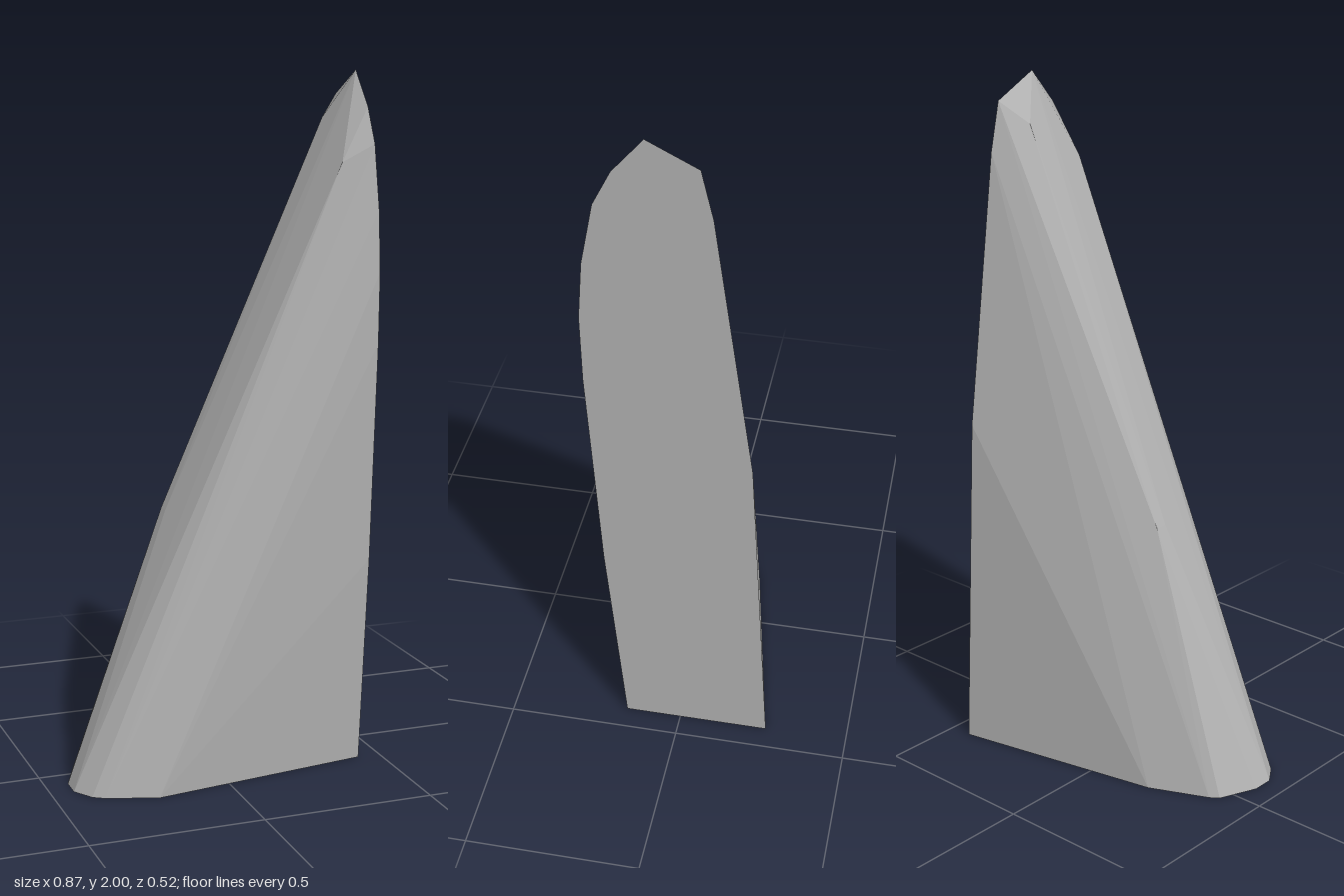
import * as THREE from 'three';
import { ConvexGeometry } from 'three/addons/geometries/ConvexGeometry.js';

export function createModel() {
  const group = new THREE.Group();
  const grey = new THREE.MeshStandardMaterial({ color: 0xb2b2b2 });
  grey.name = 'stone grey';

  const side = 0.432; // plane of the flat upright face

  // Outline of the flat upright face, as [z, y]
  const upright = [
    [0.163, 0], [0.215, 0.62], [0.25, 1.25], [0.253, 1.45], [0.24, 1.62], [0.205, 1.8],
    [0.155, 1.9], [0.07, 2], [-0.068, 1.93], [-0.1, 1.79], [-0.207, 1], [-0.26, 0],
  ].map(([z, y]) => new THREE.Vector3(side, y, z));

  // Outline of the rounded base, as [x, z]
  const base = [
    [-0.22, 0.258], [-0.365, 0.21], [-0.397, 0.19], [-0.434, 0.133],
    [-0.434, 0.07], [-0.387, -0.042], [-0.362, -0.06], [-0.193, -0.135],
  ].map(([x, z]) => new THREE.Vector3(x, 0, z));

  // Corners along the sloping ridge, as [x, y, z]
  const ridge = [
    [-0.12, 0.765, -0.016], [-0.12, 0.765, 0.02],
    [0.365, 1.865, -0.01], [0.348, 1.75, 0.175],
  ].map((p) => new THREE.Vector3(...p));

  // The solid wedge spans all of these corners
  const wedge = new THREE.Mesh(new ConvexGeometry([...upright, ...base, ...ridge]), grey);
  wedge.name = 'wedgeShard';
  group.add(wedge);
  return group;
}
